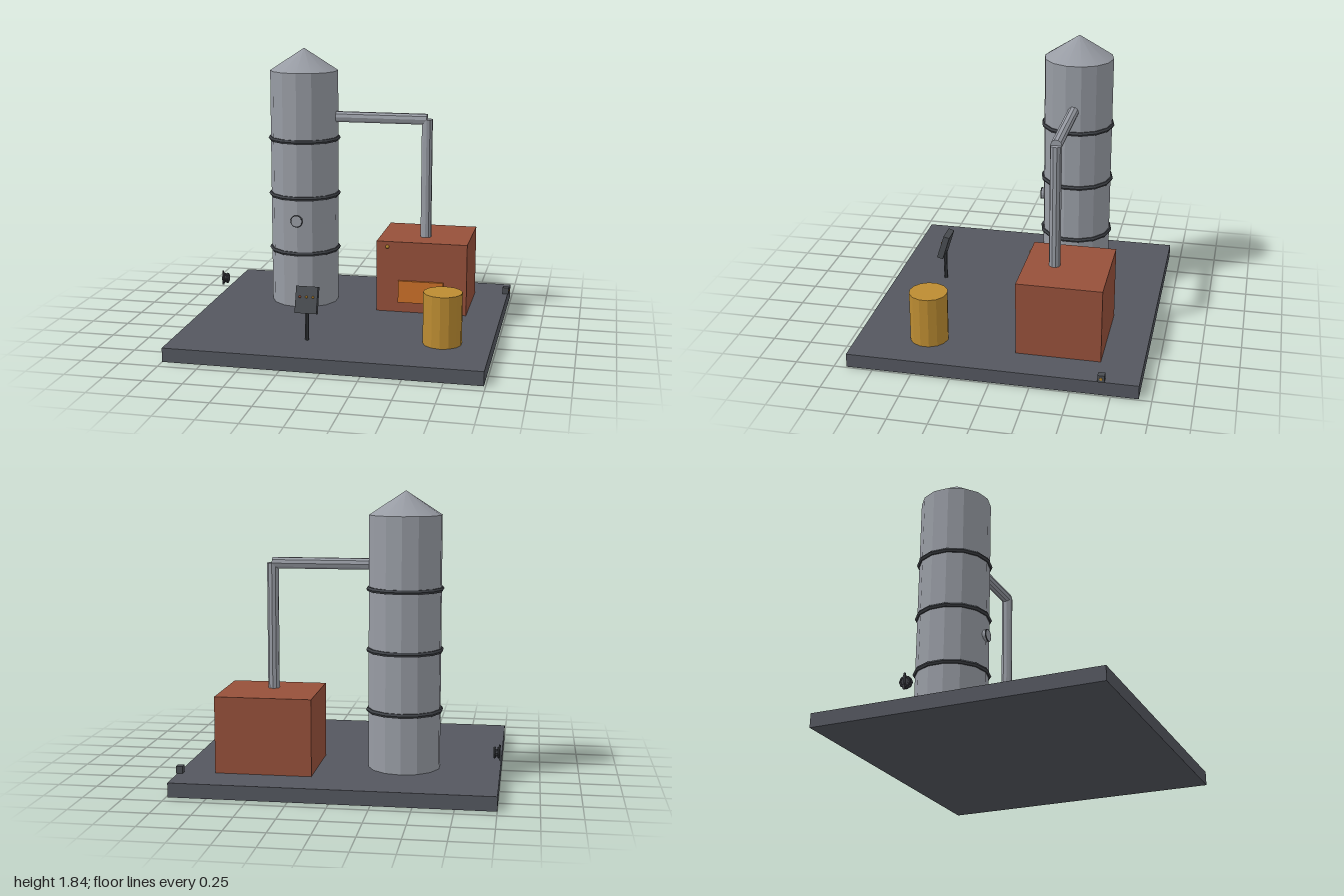
import * as THREE from 'three';

const mat = (name, color, flatShading = false) => {
  const m = new THREE.MeshStandardMaterial({ color, flatShading });
  m.name = name;
  return m;
};

export function createModel() {
  const group = new THREE.Group();
  const slate = mat('slate', 0x54575f);
  const steel = mat('steel', 0x989ca4, true);
  const roofSteel = mat('smooth steel', 0x989ca4);
  const dark = mat('dark iron', 0x3e4146, true);
  const panelGrey = mat('panel grey', 0x4a4d52);
  const brick = mat('brick red', 0x96503a);
  const orange = mat('orange', 0xcc7028);
  const ochre = mat('ochre', 0xbc8c32, true);
  const brass = mat('brass', 0xb8862e);

  const add = (name, geo, material, x, y, z, parent = group) => {
    const m = new THREE.Mesh(geo, material);
    m.name = name;
    m.position.set(x, y, z);
    parent.add(m);
    return m;
  };
  const box = (w, h, d) => new THREE.BoxGeometry(w, h, d);
  const cyl = (r, h, sides) => new THREE.CylinderGeometry(r, r, h, sides);

  // Ground slab
  add('baseSlab', box(1.99, 0.09, 1.84), slate, -0.005, 0.045, 0);

  // Tower with conical roof and three hoops
  const tx = -0.39, tz = -0.305;
  add('towerShell', cyl(0.23, 1.6, 14), steel, tx, 0.89, tz);
  add('towerRoof', new THREE.ConeGeometry(0.23, 0.15, 14), roofSteel, tx, 1.765, tz);
  for (const y of [0.462, 0.845, 1.23]) {
    const hoop = new THREE.TorusGeometry(0.23, 0.016, 6, 14);
    hoop.rotateX(Math.PI / 2).rotateY(Math.PI / 2);
    add('towerHoop', hoop, dark, tx, y, tz);
  }

  // Round inspection port on the tower front
  add('portDisc', cyl(0.038, 0.04, 16).rotateX(Math.PI / 2), steel, tx, 0.695, -0.077);
  add('portRim', new THREE.TorusGeometry(0.038, 0.004, 6, 20), dark, tx, 0.695, -0.06);

  // Pipe from the tower down to the furnace
  add('pipeHorizontal', cyl(0.037, 0.655, 10).rotateZ(Math.PI / 2), steel, 0.1275, 1.38, tz);
  add('pipeVertical', cyl(0.037, 0.82, 10), steel, 0.455, 0.97, tz);

  // Furnace with hatch and stud
  add('furnaceBody', box(0.61, 0.485, 0.54), brick, 0.455, 0.3325, -0.385);
  add('furnaceHatch', box(0.305, 0.15, 0.03), orange, 0.4525, 0.235, -0.112);
  add('furnaceStud', new THREE.SphereGeometry(0.013, 10, 8), brass, 0.225, 0.54, -0.108);

  // Barrel
  add('barrel', cyl(0.123, 0.33, 14), ochre, 0.68, 0.255, 0.463);

  // Control stand with a tilted console and three buttons
  add('consolePost', cyl(0.013, 0.24, 8), dark, -0.16, 0.21, 0.58);
  const console_ = new THREE.Group();
  console_.name = 'console';
  console_.position.set(-0.16, 0.35, 0.577);
  console_.rotation.x = -0.3;
  group.add(console_);
  add('consoleBox', box(0.14, 0.17, 0.042), panelGrey, 0, 0, 0, console_);
  [brick, brass, brass].forEach((m, i) =>
    add('consoleButton', new THREE.SphereGeometry(0.008, 8, 6), m, (i - 1) * 0.042, 0.018, 0.022, console_));

  // Valve at the left edge: hub, ring and crossbar
  const valve = new THREE.Group();
  valve.name = 'valve';
  valve.position.set(-0.975, 0.197, -0.305);
  group.add(valve);
  add('valveHub', cyl(0.024, 0.036, 8).rotateZ(Math.PI / 2), dark, 0.002, 0, 0, valve);
  for (const x of [-0.012, 0.012])
    add('valveRing', new THREE.TorusGeometry(0.031, 0.008, 6, 8).rotateY(Math.PI / 2), dark, x, 0, 0, valve);
  add('valveBar', box(0.01, 0.1, 0.012), dark, -0.02, 0, 0, valve);

  // Sensor box at the right edge
  add('sensorBox', box(0.043, 0.046, 0.043), panelGrey, 0.976, 0.115, -0.689);
  add('sensorEye', cyl(0.01, 0.005, 8).rotateZ(Math.PI / 2), brass, 0.9975, 0.115, -0.689);

  return group;
}
